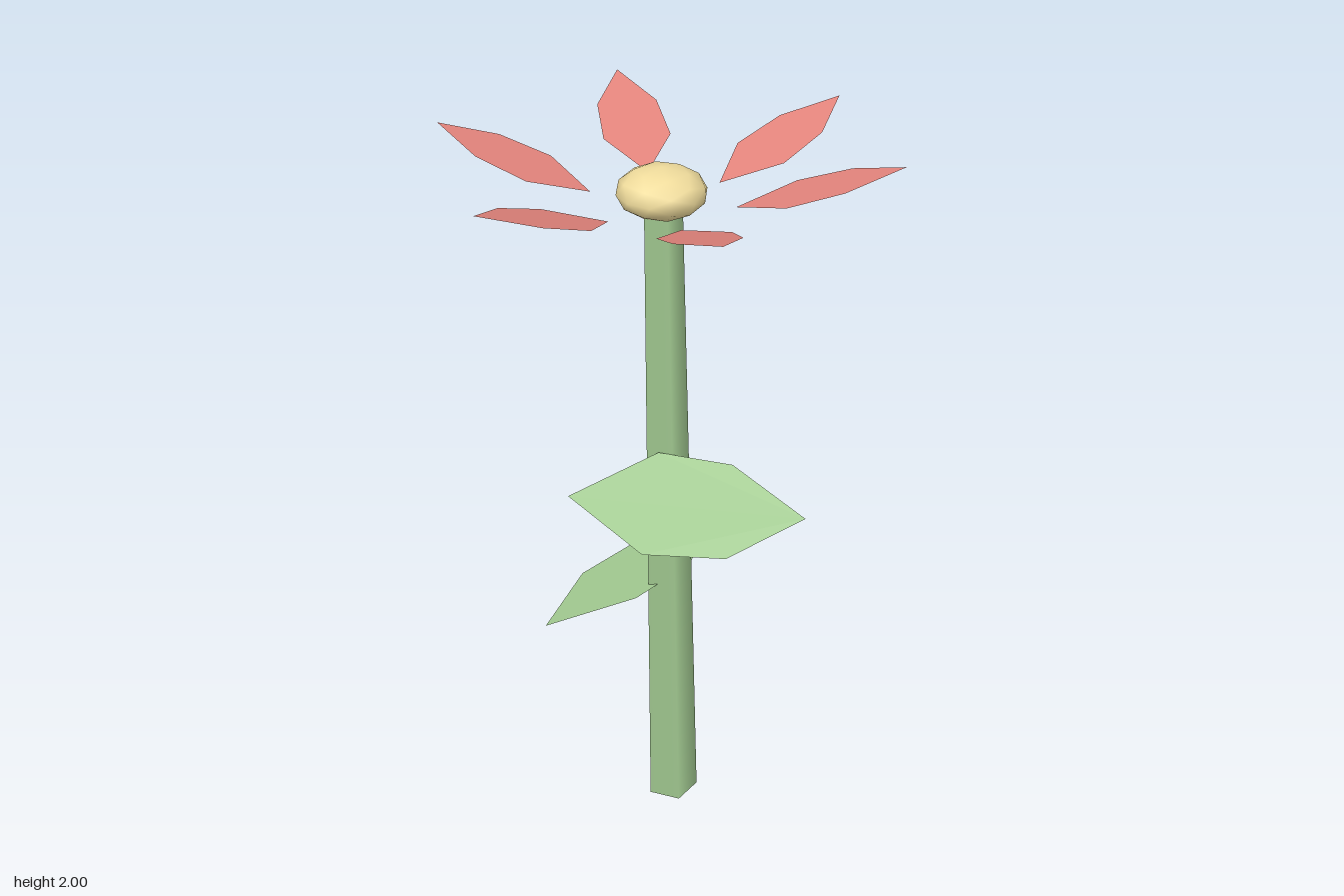
import * as THREE from 'three';

const material = (color, side = THREE.DoubleSide) => new THREE.MeshStandardMaterial({ color, side });
const green = material(0xa3cb92);
const red = material(0xe3847c);
const yellow = material(0xf0dc9c, THREE.FrontSide);

// Flat blade: a fan of triangles over one outline, facing up
function blade(name, points, mat) {
  const corners = [];
  for (let i = 1; i < points.length - 1; i++) corners.push(points[0], points[i], points[i + 1]);
  const geometry = new THREE.BufferGeometry().setFromPoints(corners.map((p) => new THREE.Vector3(...p)));
  geometry.computeVertexNormals();
  const mesh = new THREE.Mesh(geometry, mat);
  mesh.name = name;
  return mesh;
}

// Six-cornered petal rising from its base [x, z] to its tip [x, z]
function petal(base, tip) {
  const dx = tip[0] - base[0], dz = tip[1] - base[1];
  const length = Math.hypot(dx, dz);
  const outline = [[0, 0], [0.335, -0.088], [0.67, -0.079], [1, 0], [0.67, 0.079], [0.335, 0.088]];
  const points = outline.map(([t, w]) => [
    base[0] + dx * t + (dz / length) * w,
    1.865 + 0.135 * t,
    base[1] + dz * t - (dx / length) * w,
  ]);
  return blade('petal', points, red);
}

export function createModel() {
  const flower = new THREE.Group();
  flower.name = 'flower';

  // Five-sided tapered stem, open at the ends, its foot leaning forward
  const height = 1.84;
  const stemGeometry = new THREE.CylinderGeometry(0.052, 0.076, height, 5, 1, true, Math.PI / 4);
  stemGeometry.translate(0, height / 2, 0);
  const pos = stemGeometry.attributes.position;
  for (let i = 0; i < pos.count; i++) pos.setZ(i, pos.getZ(i) + 0.043 * (1 - pos.getY(i) / height));
  const stem = new THREE.Mesh(stemGeometry, green);
  stem.name = 'stem';
  flower.add(stem);

  // Flattened flower centre
  const centreGeometry = new THREE.IcosahedronGeometry(1, 1);
  centreGeometry.scale(0.114, 0.063, 0.114);
  const centre = new THREE.Mesh(centreGeometry, yellow);
  centre.name = 'flowerCentre';
  centre.position.y = 1.888;
  flower.add(centre);

  // Ring of petals
  const petals = new THREE.Group();
  petals.name = 'petals';
  [
    [[0.18, 0.02], [0.58, 0.055]],
    [[0.10, 0.155], [0.325, 0.485]],
    [[-0.09, 0.16], [-0.30, 0.50]],
    [[-0.18, 0.005], [-0.58, 0.01]],
    [[-0.09, -0.16], [-0.285, -0.505]],
    [[0.10, -0.155], [0.305, -0.49]],
  ].forEach(([base, tip]) => petals.add(petal(base, tip)));
  flower.add(petals);

  // Two leaves: the upper one in front, the lower one behind
  flower.add(blade('upperLeaf', [
    [0.11, 1.085, 0.42], [0.07, 1.165, 0.195], [-0.05, 1.185, 0.04],
    [-0.305, 1.13, -0.03], [-0.27, 1.05, 0.21], [-0.115, 1.035, 0.355],
  ], green));
  flower.add(blade('lowerLeaf', [
    [0.275, 0.77, -0.07], [0.12, 0.705, -0.215], [-0.085, 0.67, -0.24],
    [-0.33, 0.678, -0.115], [-0.13, 0.75, 0.035], [0.06, 0.78, 0.05],
  ], green));

  return flower;
}
